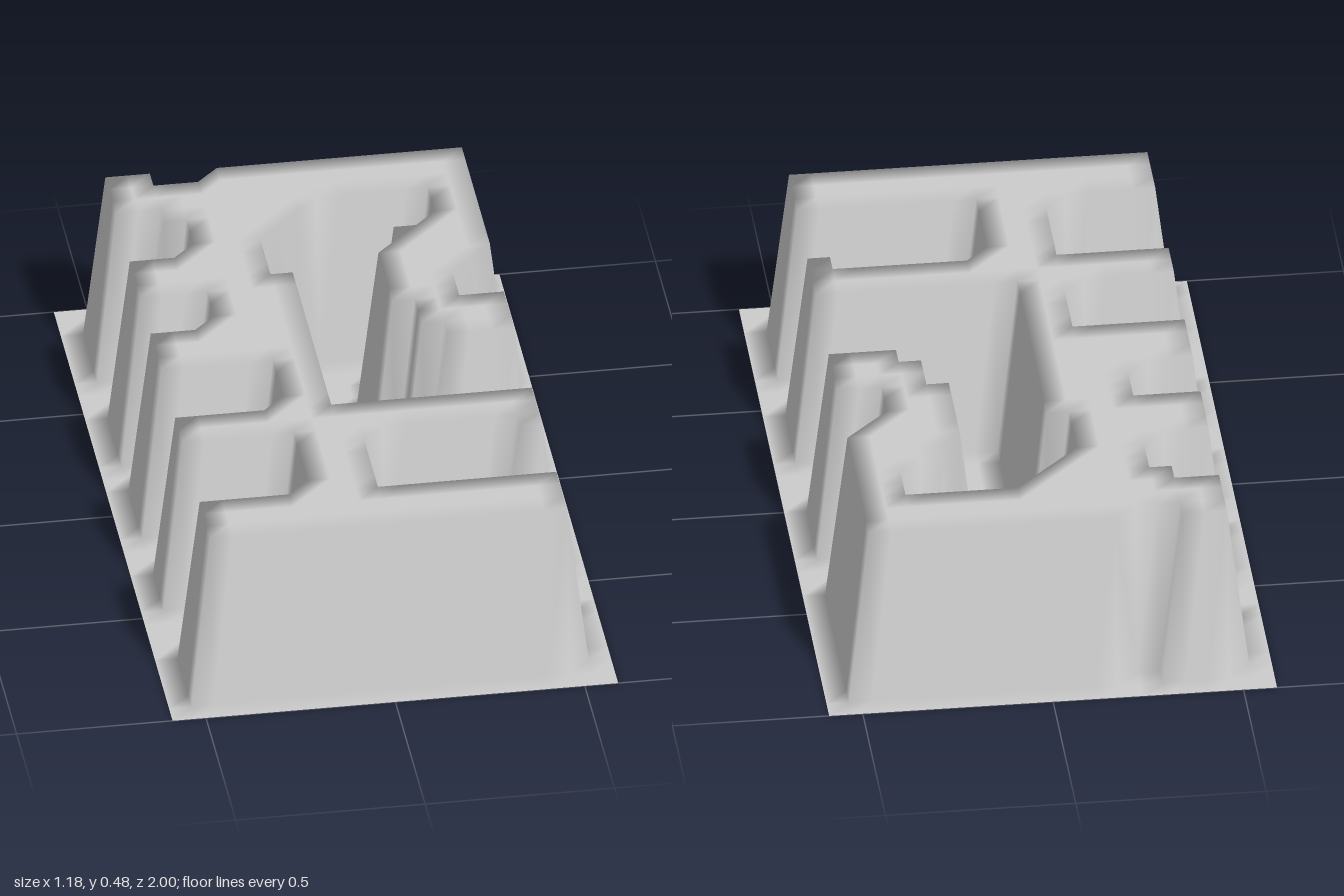
import * as THREE from 'three';

const COLS = 20, ROWS = 34, CELL = 2 / ROWS, HEIGHT = 0.48;

// Carved areas as [first column, last column, first row, last row] of grid points
const carved = [
  // flat rim all round
  [0, 1, 0, 34], [19, 20, 0, 34], [0, 20, 0, 1], [0, 20, 33, 34],
  // nick in the back wall
  [5, 6, 2, 2],
  // notches along the -x side, back to front
  [2, 3, 6, 6], [2, 4, 7, 8], [2, 4, 13, 14], [2, 6, 19, 21], [2, 6, 25, 28],
  // notches along the +x side
  [18, 18, 11, 11], [17, 18, 12, 13], [11, 16, 25, 25], [11, 18, 26, 28],
  // hooked channel: top bend, long run, exit to the +x side
  [11, 15, 6, 6], [10, 15, 7, 7], [9, 13, 8, 9], [9, 12, 10, 10],
  [10, 12, 11, 14], [10, 13, 15, 16], [10, 14, 17, 17], [10, 18, 18, 21],
];

const isCarved = (i, j) =>
  carved.some(([i0, i1, j0, j1]) => i >= i0 && i <= i1 && j >= j0 && j <= j1);

export function createModel() {
  const group = new THREE.Group();
  group.name = 'channelledBlock';

  // One grid sheet: raised points sit on the plateau, carved ones on the floor
  const sheet = new THREE.PlaneGeometry(COLS * CELL, ROWS * CELL, COLS, ROWS);
  sheet.rotateX(-Math.PI / 2);
  const pos = sheet.attributes.position;
  for (let j = 0; j <= ROWS; j++) {
    for (let i = 0; i <= COLS; i++) {
      pos.setY(j * (COLS + 1) + i, isCarved(i, j) ? 0 : HEIGHT);
    }
  }
  sheet.computeVertexNormals();

  const shell = new THREE.Mesh(
    sheet,
    new THREE.MeshStandardMaterial({ color: 0xcccccc, side: THREE.DoubleSide })
  );
  shell.name = 'reliefShell';
  group.add(shell);
  return group;
}
